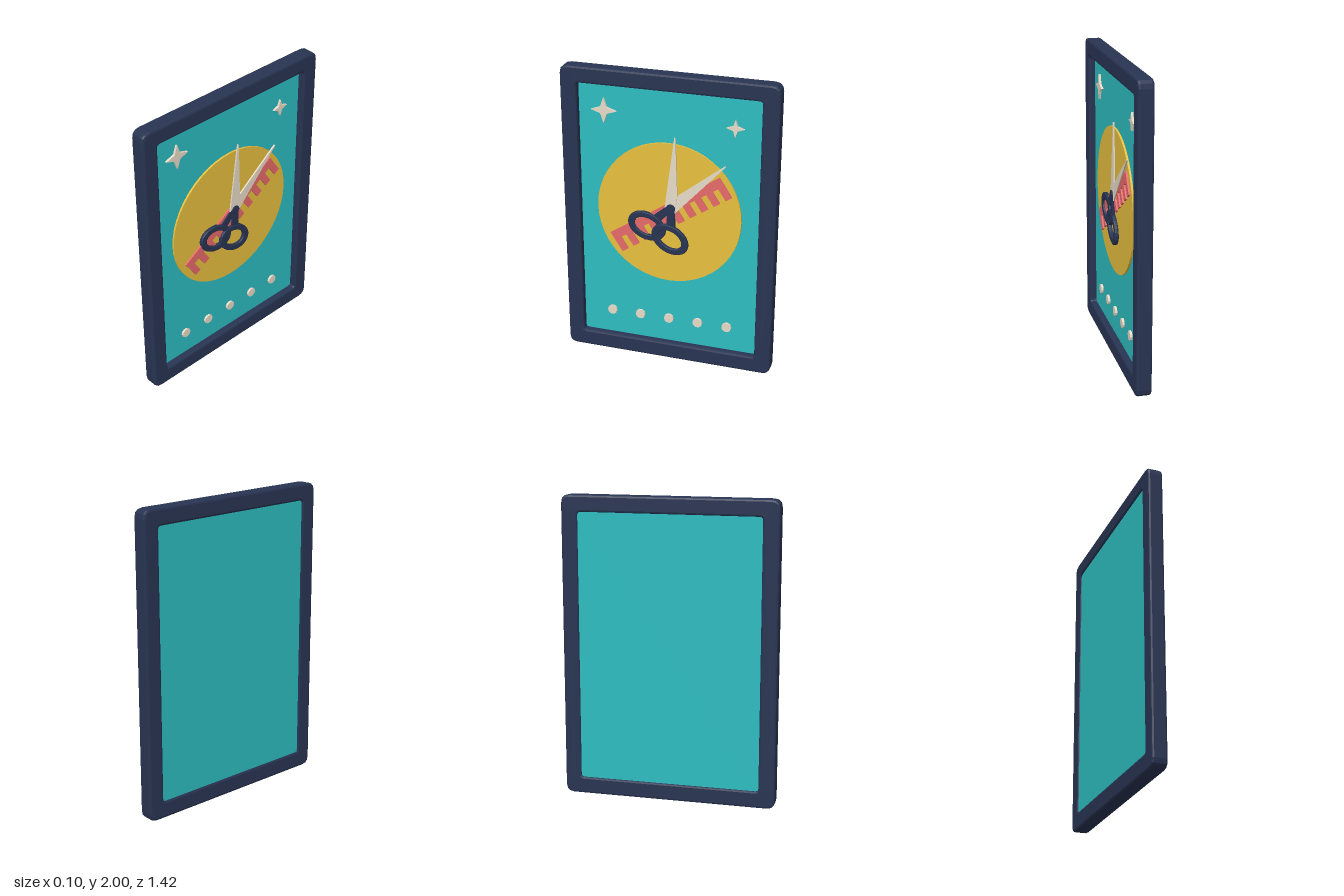
import * as THREE from 'three';

const material = (name, color) => Object.assign(new THREE.MeshStandardMaterial({ color }), { name });

export function createModel() {
  const navy = material('navy', 0x283452);
  const teal = material('teal', 0x2dbdc0);
  const gold = material('gold', 0xefc641);
  const cream = material('cream', 0xf0e4d0);
  const red = material('red', 0xf06e6e);

  const model = new THREE.Group();
  model.name = 'framedSign';
  // The sign is drawn in the xy plane and turned to face +x.
  const sign = new THREE.Group();
  sign.name = 'sign';
  sign.rotation.y = Math.PI / 2;
  model.add(sign);

  // Extruded plate between two depths, with an optional inset bevel.
  function plate(parent, name, shape, mat, back, front, bevel = 0, curveSegments = 12) {
    const geometry = new THREE.ExtrudeGeometry(shape, {
      depth: front - back - 2 * bevel, curveSegments, bevelEnabled: bevel > 0,
      bevelThickness: bevel, bevelSize: bevel, bevelOffset: -bevel, bevelSegments: 2,
    });
    geometry.translate(0, 0, back + bevel);
    const mesh = new THREE.Mesh(geometry, mat);
    mesh.name = name;
    parent.add(mesh);
    return mesh;
  }

  const polygon = (points) => new THREE.Shape(points.map(([x, y]) => new THREE.Vector2(x, y)));

  function roundedRect(target, x0, y0, x1, y1, r) {
    target.moveTo(x0 + r, y0);
    target.lineTo(x1 - r, y0);
    target.quadraticCurveTo(x1, y0, x1, y0 + r);
    target.lineTo(x1, y1 - r);
    target.quadraticCurveTo(x1, y1, x1 - r, y1);
    target.lineTo(x0 + r, y1);
    target.quadraticCurveTo(x0, y1, x0, y1 - r);
    target.lineTo(x0, y0 + r);
    target.quadraticCurveTo(x0, y0, x0 + r, y0);
    return target;
  }

  function ellipse(target, rx, ry, tilt = 0) {
    target.absellipse(0, 0, rx, ry, 0, Math.PI * 2, false, tilt);
    return target;
  }

  // Frame and backing panel
  const frameShape = roundedRect(new THREE.Shape(), -0.71, 0, 0.71, 2, 0.055);
  frameShape.holes.push(roundedRect(new THREE.Path(), -0.6, 0.115, 0.6, 1.89, 0.02));
  plate(sign, 'frame', frameShape, navy, -0.05, 0.05, 0.014, 3);
  plate(sign, 'panel', polygon([[-0.61, 0.105], [0.61, 0.105], [0.61, 1.9], [-0.61, 1.9]]), teal, -0.04, 0.005);

  // Central disc
  plate(sign, 'disc', ellipse(new THREE.Shape(), 0.483, 0.483), gold, 0, 0.018, 0, 24).position.y = 1.061;

  // Four-pointed stars
  for (const [x, y, r] of [[-0.431, 1.717, 0.085], [0.429, 1.69, 0.058]]) {
    const points = [];
    for (let i = 0; i < 8; i++) {
      const a = i * Math.PI / 4, d = i % 2 ? r * 0.36 : r;
      points.push([d * Math.cos(a), d * Math.sin(a)]);
    }
    plate(sign, 'star', polygon(points), cream, 0, 0.02).position.set(x, y, 0);
  }

  // Row of dots
  for (let i = -2; i <= 2; i++) {
    plate(sign, 'dot', ellipse(new THREE.Shape(), 0.033, 0.033), cream, 0, 0.02, 0, 5).position.set(i * 0.2, 0.288, 0);
  }

  // Comb: spine with evenly spaced teeth hanging below it
  const length = 0.878, toothWidth = 0.047, teeth = 10;
  const pitch = (length - toothWidth) / (teeth - 1);
  const outline = [[length, 0], [0, 0]];
  for (let i = 0; i < teeth; i++) {
    const x = i * pitch;
    if (i > 0) outline.push([x, -0.06]);
    outline.push([x, -0.15], [x + toothWidth, -0.15]);
    if (i < teeth - 1) outline.push([x + toothWidth, -0.06]);
  }
  const comb = plate(sign, 'comb', polygon(outline), red, 0.015, 0.03);
  comb.position.set(-0.397, 0.876, 0);
  comb.rotation.z = 0.58;

  // Scissors: two mirrored halves about the pivot
  const scissors = new THREE.Group();
  scissors.name = 'scissors';
  scissors.position.set(0.021, 1.108, 0);
  scissors.rotation.z = THREE.MathUtils.degToRad(-25);
  sign.add(scissors);

  for (const s of [1, -1]) {
    const lift = s * 0.002;
    const blade = polygon([[-0.042, -0.005], [0.03, -0.03], [0.038, 0.09], [0.004, 0.485], [-0.003, 0.485]]
      .map(([x, y]) => [x * s, y]));
    plate(scissors, 'blade', blade, cream, 0.026 + lift, 0.036 + lift).rotation.z = s * 0.384;

    const shank = polygon([[-0.025, 0.01], [0.025, 0.01], [0.09, -0.13], [0.035, -0.15]].map(([x, y]) => [x * s, y]));
    plate(scissors, 'shank', shank, navy, 0.022 + lift, 0.041 + lift);

    const ring = ellipse(new THREE.Shape(), 0.132, 0.096, -s * 0.09);
    ring.holes.push(ellipse(new THREE.Path(), 0.085, 0.056, -s * 0.09));
    plate(scissors, 'fingerRing', ring, navy, 0.018 + lift, 0.044 + lift, 0.007, 14).position.set(s * 0.087, -0.202, 0);
  }
  plate(scissors, 'pivot', ellipse(new THREE.Shape(), 0.03, 0.03), navy, 0.02, 0.046, 0, 8);

  return model;
}
